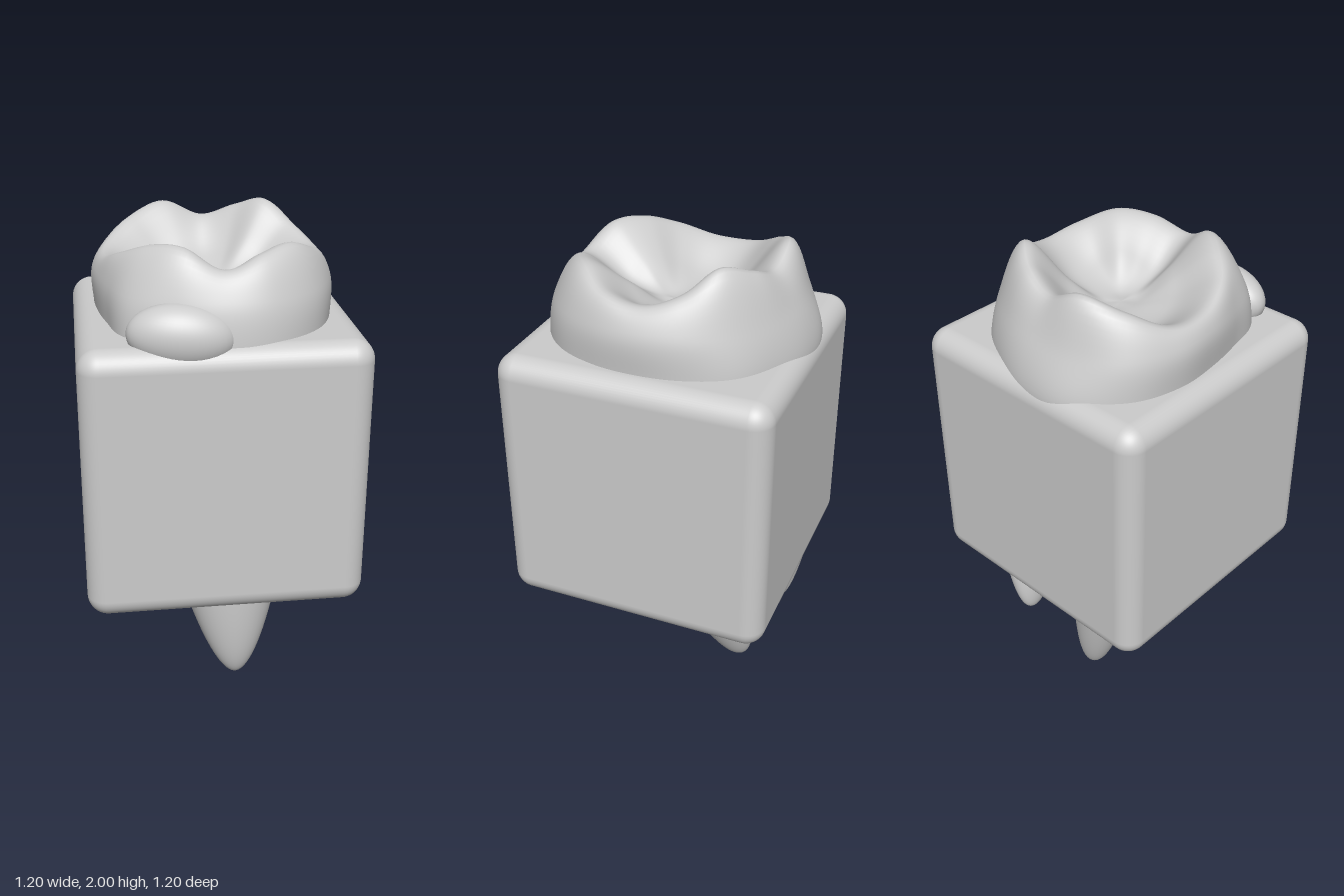
import * as THREE from 'three';
import { mergeVertices } from 'three/addons/utils/BufferGeometryUtils.js';
import { RoundedBoxGeometry } from 'three/addons/geometries/RoundedBoxGeometry.js';

const grey = new THREE.MeshStandardMaterial({ color: 0xcccccc });

function part(name, geometry) {
  const mesh = new THREE.Mesh(geometry, grey);
  mesh.name = name;
  return mesh;
}

// weld seams so normals are smooth everywhere
function weld(geometry) {
  geometry.deleteAttribute('uv');
  geometry.deleteAttribute('normal');
  const g = mergeVertices(geometry, 1e-5);
  g.computeVertexNormals();
  return g;
}

// smooth periodic interpolation of values spaced evenly around a circle; u in 0..1
function around(values, u) {
  const n = values.length, f = u * n, i = Math.floor(f), t = f - i;
  const [a, b, c, d] = [-1, 0, 1, 2].map((k) => values[(i + k + n) % n]);
  return b + 0.5 * t * (c - a + t * (2 * a - 5 * b + 4 * c - d + t * (3 * (b - c) + d - a)));
}

// Crown: 16 radii and heights per ring, starting at +x and turning towards +z
const outline = [0.505, 0.52, 0.55, 0.56, 0.55, 0.54, 0.56, 0.5, 0.495, 0.54, 0.595, 0.61, 0.58, 0.555, 0.55, 0.52];
const wall = [0.505, 0.515, 0.53, 0.53, 0.515, 0.52, 0.53, 0.495, 0.5, 0.54, 0.57, 0.55, 0.52, 0.51, 0.51, 0.505];
const rim = [0.43, 0.44, 0.42, 0.42, 0.43, 0.41, 0.4, 0.43, 0.45, 0.48, 0.47, 0.45, 0.41, 0.4, 0.39, 0.41];
const rimHeight = [1.86, 1.885, 1.94, 1.92, 1.87, 1.95, 1.945, 1.89, 1.835, 1.84, 1.92, 1.975, 1.91, 1.96, 2.0, 1.91];
const slopeHeight = [1.76, 1.78, 1.83, 1.8, 1.76, 1.82, 1.82, 1.78, 1.74, 1.73, 1.75, 1.78, 1.77, 1.79, 1.82, 1.77];

function crownGeometry(segments = 128, rows = 48) {
  const positions = [], index = [];
  for (let i = 0; i < segments; i++) {
    const u = i / segments, angle = u * Math.PI * 2;
    const at = (r, y) => new THREE.Vector3(r * Math.cos(angle), y, r * Math.sin(angle));
    const base = around(outline, u), crest = around(rim, u);
    const section = new THREE.CatmullRomCurve3([
      at(base * 0.98, 1.42),
      at(base, 1.58),
      at(around(wall, u), 1.76),
      at(crest, around(rimHeight, u)),
      at(crest * 0.55, around(slopeHeight, u)),
      at(0.08, 1.715),
      at(0, 1.71),
    ]);
    for (let j = 0; j <= rows; j++) positions.push(...section.getPoint(j / rows).toArray());
  }
  for (let i = 0; i < segments; i++) {
    for (let j = 0; j < rows; j++) {
      const a = i * (rows + 1) + j, b = ((i + 1) % segments) * (rows + 1) + j;
      index.push(a, a + 1, b, b, a + 1, b + 1);
    }
  }
  const g = new THREE.BufferGeometry();
  g.setAttribute('position', new THREE.Float32BufferAttribute(positions, 3));
  g.setIndex(index);
  return weld(g);
}

// Root: a blunt cone leaning from its tip to an oval section at y = 0.4
function rootGeometry({ tip, top, radii, power }) {
  const profile = [];
  for (let i = 0; i <= 24; i++) {
    const t = 1.2 * (i / 24) ** 2;
    profile.push(new THREE.Vector2(t ** power, t));
  }
  const g = new THREE.LatheGeometry(profile, 40);
  const p = g.attributes.position;
  for (let i = 0; i < p.count; i++) {
    const t = p.getY(i);
    p.setXYZ(i,
      THREE.MathUtils.lerp(tip[0], top[0], t) + p.getX(i) * radii[0],
      THREE.MathUtils.lerp(tip[1], 0.4, t),
      THREE.MathUtils.lerp(tip[2], top[1], t) + p.getZ(i) * radii[1]);
  }
  return weld(g);
}

export function createModel() {
  const model = new THREE.Group();
  model.name = 'toothInBlock';

  // Rounded block
  const block = part('block', new RoundedBoxGeometry(1.2, 1.2, 1.2, 6, 0.09));
  block.position.y = 1;
  model.add(block);

  // Crown with four cusps
  model.add(part('crown', crownGeometry()));

  // Small extra cusp on the front
  const bump = part('sideCusp', new THREE.SphereGeometry(1, 40, 28));
  bump.scale.set(0.22, 0.135, 0.115);
  bump.position.set(-0.18, 1.625, 0.483);
  bump.rotation.set(0, -0.12, -0.08);
  model.add(bump);

  // Three roots
  const roots = {
    frontRoot: { tip: [0.05, 0, 0.46], top: [0.035, 0.37], radii: [0.205, 0.18], power: 0.56 },
    backLeftRoot: { tip: [0.24, 0.05, -0.39], top: [0.315, -0.3], radii: [0.115, 0.17], power: 0.46 },
    backRightRoot: { tip: [-0.23, 0.05, -0.44], top: [-0.29, -0.45], radii: [0.123, 0.113], power: 0.43 },
  };
  for (const [name, shape] of Object.entries(roots)) model.add(part(name, rootGeometry(shape)));

  return model;
}
